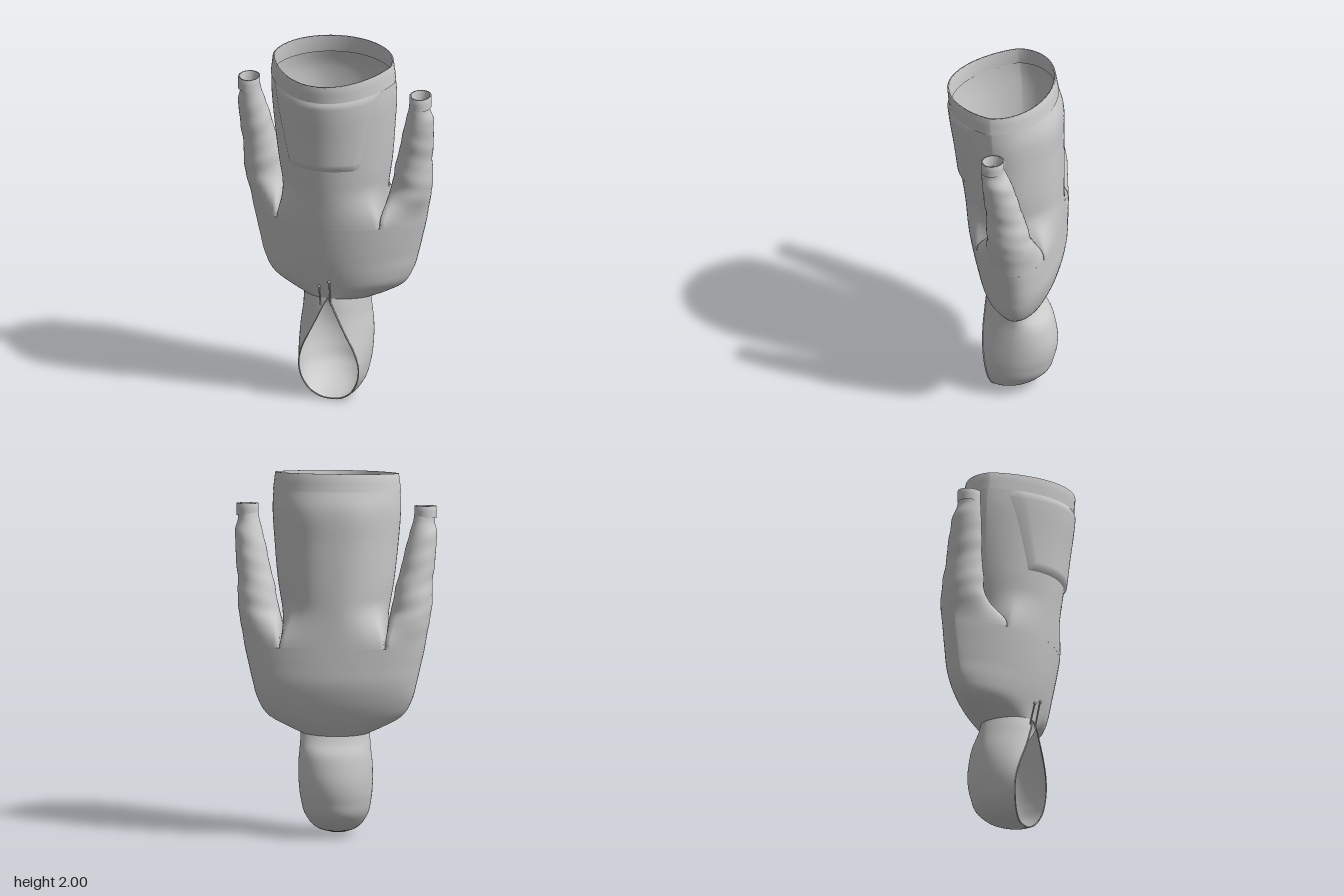
import * as THREE from 'three';

const { lerp, clamp, smoothstep } = THREE.MathUtils;
const TAU = Math.PI * 2;
const cloth = new THREE.MeshStandardMaterial({ color: 0xcccccc, side: THREE.DoubleSide });

// Smooth interpolation of rows of numbers, keyed by their first entry (height)
function profile(keys) {
  const size = keys[0].length - 1;
  const cubic = new THREE.CubicInterpolant(
    keys.map(k => k[0]), keys.flatMap(k => k.slice(1)), size, new Float32Array(size));
  return y => Array.from(cubic.evaluate(y));
}

// Surface through a grid of points; point(u, v) with u around and v upward, both 0..1
function surface(name, nu, nv, point, closed = true) {
  const cols = closed ? nu : nu + 1, pos = [], index = [];
  for (let j = 0; j <= nv; j++)
    for (let i = 0; i < cols; i++) pos.push(...point(i / nu, j / nv));
  for (let j = 0; j < nv; j++)
    for (let i = 0; i < nu; i++) {
      const a = j * cols + i, b = j * cols + (i + 1) % cols;
      index.push(a, a + cols, b, b, a + cols, b + cols);
    }
  const g = new THREE.BufferGeometry();
  g.setAttribute('position', new THREE.Float32BufferAttribute(pos, 3));
  g.setIndex(index);
  g.computeVertexNormals();
  const mesh = new THREE.Mesh(g, cloth);
  mesh.name = name;
  return mesh;
}

// Ring with separate front and back depths; p > 1 makes the front more pointed, q < 1 the back squarer
function ringPoint([a, zc, zf, zb], t, p, q = 1) {
  const s = Math.sin(t);
  return [a * Math.cos(t), s > 0 ? zc + (zf - zc) * s ** p : zc - (zc - zb) * (-s) ** q];
}

const SPLIT = 1.05; // height where the shoulders divide into body and sleeves
const ARMPIT = 0.285;
const NECK_POWER = 1.35;

// height, half width, middle z, front z, back z
const yoke = profile([
  [0.6, 0.187, -0.1, 0.088, -0.185], [0.64, 0.28, -0.1, 0.097, -0.215],
  [0.68, 0.36, -0.11, 0.108, -0.245], [0.75, 0.415, -0.12, 0.128, -0.285],
  [0.85, 0.445, -0.125, 0.153, -0.31], [0.95, 0.468, -0.125, 0.173, -0.313],
  [SPLIT, 0.49, -0.125, 0.19, -0.313], [1.25, 0.512, -0.12, 0.218, -0.313]]);
const yokeRing = (y, t) => {
  const k = smoothstep(y, 0.6, 0.85);
  return ringPoint(yoke(y), t, lerp(NECK_POWER, 1.7, k), lerp(1, 0.82, k));
};
const body = profile([
  [SPLIT, 0.28, -0.05, 0.19, -0.313], [1.2, 0.285, -0.05, 0.211, -0.313],
  [1.4, 0.315, -0.04, 0.24, -0.315], [1.6, 0.335, -0.02, 0.265, -0.314],
  [1.78, 0.347, -0.01, 0.291, -0.31], [1.88, 0.343, -0.005, 0.302, -0.279]]);
// height, middle x, middle z, half width, half depth
const sleeve = profile([
  [SPLIT, 0.385, -0.125, 0.105, 0.137], [1.2, 0.408, -0.118, 0.112, 0.126],
  [1.4, 0.433, -0.098, 0.096, 0.102], [1.55, 0.458, -0.076, 0.084, 0.089],
  [1.65, 0.472, -0.06, 0.075, 0.081], [1.72, 0.475, -0.045, 0.057, 0.064],
  [1.76, 0.48, -0.04, 0.056, 0.06]]);
// height, half width, opening half width, opening z, middle z, back z
const hood = profile([
  [0, 0.03, 0.025, 0.03, 0.03, 0.03], [0.03, 0.1, 0.088, 0.042, 0, -0.11],
  [0.1, 0.162, 0.144, 0.06, -0.03, -0.225], [0.2, 0.19, 0.168, 0.075, -0.06, -0.27],
  [0.3, 0.2, 0.15, 0.09, -0.075, -0.285], [0.4, 0.2, 0.105, 0.1, -0.09, -0.27],
  [0.5, 0.192, 0.055, 0.1, -0.1, -0.238], [0.56, 0.189, 0.025, 0.097, -0.1, -0.205],
  [0.6, 0.187, 0.004, 0.088, -0.1, -0.185]]);

// The neck seam dips toward the back
const neckDip = (y, z) => 0.2 * (z - 0.04) * smoothstep(y, 0.42, 0.6) * (1 - smoothstep(y, 0.6, 0.8));

// Part of the shoulder outline between two x values, closed by straight armpit sides
function cutRing(y, lo, hi, t, stretchLo, stretchHi) {
  const c = Math.cos(t), s = Math.sin(t), k = c > 0 ? stretchHi : stretchLo;
  const x = clamp((lo + hi) / 2 + (hi - lo) / 2 * k * c, lo, hi);
  const tx = Math.acos(clamp(x / yoke(y)[0], -1, 1));
  const front = yokeRing(y, tx)[1], back = yokeRing(y, -tx)[1];
  const limit = Math.sqrt(1 - 1 / (k * k));
  if (Math.abs(k * c) > 1 && limit > 0) return [x, lerp(back, front, (s / limit + 1) / 2)];
  return [x, s >= 0 ? front : back];
}

function bodyPoint(y, t) {
  const k = smoothstep(y, SPLIT, 1.3);
  const e = ringPoint(body(y), t, lerp(1.2, 1.5, smoothstep(y, 1.2, 1.8)));
  const c = cutRing(Math.min(y, 1.25), -ARMPIT, ARMPIT, t, 1.3, 1.3);
  const fold = 0.005 * k * Math.sin(7 * t + 2 * y) * (1 - Math.max(0, Math.sin(t)))
    * (1 - smoothstep(y, 1.7, 1.86));
  const x = lerp(c[0], e[0], k) * (1 + fold), z = lerp(c[1], e[1], k) * (1 + 2 * fold);
  return [x, y - 0.1 * z * smoothstep(y, 1.4, 1.88), z];
}

function sleevePoint(y, t) {
  const [cx, cz, rx, rz] = sleeve(y);
  const k = smoothstep(y, SPLIT, 1.25);
  const fold = 1 + k * (0.018 * Math.sin(34 * y + Math.cos(t)) + 0.012 * Math.sin(61 * y - 2 * t));
  const yc = Math.min(y, 1.25);
  const c = cutRing(yc, ARMPIT, yoke(yc)[0], t, 1.3, 1);
  return [lerp(c[0], cx + rx * fold * Math.cos(t), k), y, lerp(c[1], cz + rz * fold * Math.sin(t), k)];
}

function hoodPoint(y, u) {
  const [w, xe, ze, zc, zb] = hood(y);
  const start = Math.acos(clamp(xe / w, 0, 0.92));
  const t = lerp(Math.PI - start, TAU + start, u), s = Math.sin(t);
  const p = lerp(1, NECK_POWER, smoothstep(y, 0.2, 0.6));
  const z = s > 0 ? zc + (ze - zc) * (s / Math.sin(start)) ** p : zc + (zc - zb) * s;
  return [w * Math.cos(t), y + neckDip(y, z), z];
}

// Band with an outside, a rim and an inside
function band(name, ring) {
  const levels = [[0, 0], [0.5, 0], [1, 0], [1, 0.01], [0, 0.012]];
  return surface(name, 48, 4, (u, v) => ring(u * TAU, ...levels[Math.round(v * 4)]));
}

// Front pocket: panel lying on the body, its border folded down to the cloth
function pocketPoint(u, v) {
  const y = lerp(1.41, 1.87, v);
  const x = (u * 2 - 1) * lerp(0.195, 0.305, v);
  const t = Math.acos(clamp(x / body(y)[0], -1, 1));
  const p = bodyPoint(y, t);
  const edge = u === 0 || u === 1 || v === 0 || v === 1;
  return [p[0], p[1], p[2] + (edge ? 0 : 0.016)];
}

export function createModel() {
  const group = new THREE.Group();
  const add = m => (group.add(m), m);

  add(surface('shoulders', 72, 28, (u, v) => {
    const y = lerp(0.6, SPLIT, v ** 1.4);
    const [x, z] = yokeRing(y, u * TAU);
    return [x, y + neckDip(y, z), z];
  }));
  add(surface('body', 72, 40, (u, v) => bodyPoint(lerp(SPLIT, 1.88, v), u * TAU)));
  add(surface('pocket', 24, 20, (u, v) => pocketPoint(1 - u, v), false));
  add(band('hem', (t, h, inset) => {
    const [x, z] = ringPoint([lerp(0.347, 0.335, h) - inset, 0, lerp(0.307, 0.317, h) - inset,
      lerp(-0.285, -0.268, h) + inset], t, 1.5);
    return [x, lerp(1.87, 1.968, h) - 0.12 * z, z];
  }));

  // Sleeves and cuffs
  for (const side of [1, -1]) {
    const name = side > 0 ? 'left' : 'right';
    add(surface(name + 'Sleeve', 32, 48, (u, v) => {
      const [x, y, z] = sleevePoint(lerp(SPLIT, 1.76, v), side * u * TAU);
      return [side * x, y, z];
    }));
    add(band(name + 'Cuff', (t, h, inset) => [
      side * 0.482 + (0.059 - inset) * Math.cos(t),
      lerp(1.735, 1.8, h) - 0.1 * (0.063 - inset) * Math.sin(t),
      -0.04 + (0.063 - inset) * Math.sin(t)]));
  }

  // Hood with a rolled edge round the face opening
  add(surface('hood', 56, 40, (u, v) => hoodPoint(0.6 * v ** 1.6, u), false));
  const edge = [];
  for (let i = 0; i <= 24; i++) edge.push(new THREE.Vector3(...hoodPoint(lerp(0.6, 0.008, i / 24), 0)));
  for (let i = 0; i <= 24; i++) edge.push(new THREE.Vector3(...hoodPoint(lerp(0.008, 0.6, i / 24), 1)));
  const rim = add(new THREE.Mesh(
    new THREE.TubeGeometry(new THREE.CatmullRomCurve3(edge), 120, 0.004, 6), cloth));
  rim.name = 'hoodEdge';

  // Drawstrings with knotted ends
  for (const [x, y0, y1] of [[-0.04, 0.57, 0.69], [0.017, 0.57, 0.72]]) {
    const path = new THREE.CatmullRomCurve3([
      new THREE.Vector3(x, y0, 0.095), new THREE.Vector3(x, lerp(y0, y1, 0.5), 0.11),
      new THREE.Vector3(x, y1, 0.125)]);
    const cord = add(new THREE.Mesh(new THREE.TubeGeometry(path, 12, 0.004, 6), cloth));
    cord.name = 'drawstring';
    const knot = add(new THREE.Mesh(new THREE.SphereGeometry(0.008, 10, 8), cloth));
    knot.position.set(x, y1, 0.125);
    knot.name = 'drawstringKnot';
  }
  return group;
}
